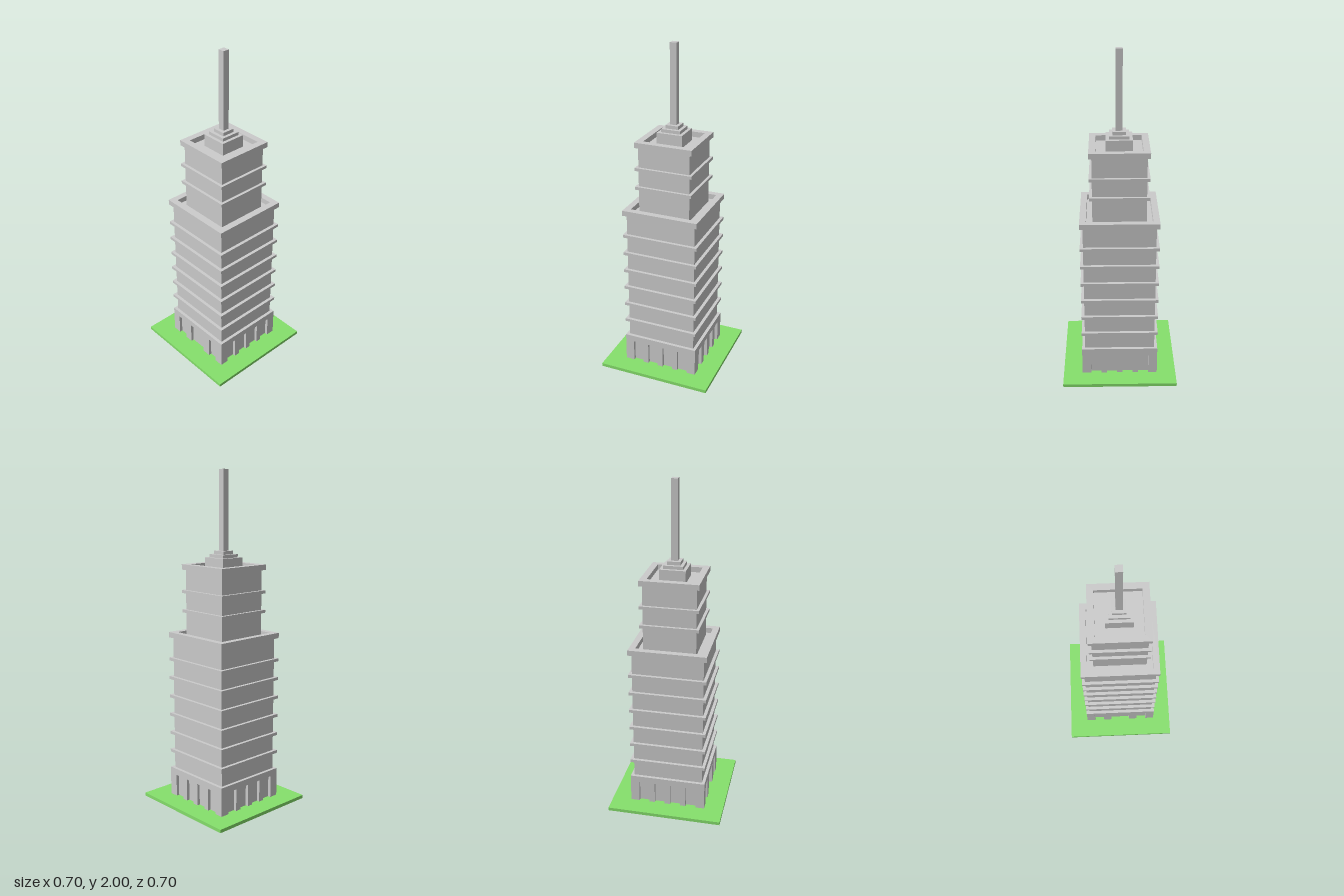
import * as THREE from 'three';

const grey = new THREE.MeshStandardMaterial({ color: 0xcccccc, flatShading: true });
const green = new THREE.MeshStandardMaterial({ color: 0x86e06c, flatShading: true });

export function createModel() {
  const tower = new THREE.Group();
  tower.name = 'tower';

  const add = (name, geometry, material = grey) => {
    const mesh = new THREE.Mesh(geometry, material);
    mesh.name = name;
    tower.add(mesh);
    return mesh;
  };

  // Square block given by half width and height range
  const block = (name, half, y0, y1, material) => {
    const mesh = add(name, new THREE.BoxGeometry(half * 2, y1 - y0, half * 2), material);
    mesh.position.y = (y0 + y1) / 2;
  };

  // Square ring around an open roof
  const parapet = (name, outer, inner, y0, y1) => {
    const square = (Type, h) => {
      const path = new Type();
      path.moveTo(-h, -h).lineTo(h, -h).lineTo(h, h).lineTo(-h, h).closePath();
      return path;
    };
    const shape = square(THREE.Shape, outer);
    shape.holes.push(square(THREE.Path, inner));
    const mesh = add(name, new THREE.ExtrudeGeometry(shape, { depth: y1 - y0, bevelEnabled: false }));
    mesh.rotation.x = -Math.PI / 2;
    mesh.position.y = y0;
  };

  // Podium facade with openings notched up from the ground
  const facade = (name, half, openings, angle) => {
    const shape = new THREE.Shape();
    shape.moveTo(-half, 0.02);
    for (const [a, b] of openings) {
      shape.lineTo(a, 0.02).lineTo(a, 0.157).lineTo(b, 0.157).lineTo(b, 0.02);
    }
    shape.lineTo(half, 0.02).lineTo(half, 0.196).lineTo(-half, 0.196).closePath();
    const mesh = add(name, new THREE.ExtrudeGeometry(shape, { depth: 0.019, bevelEnabled: false }));
    mesh.rotation.y = angle;
    mesh.position.set(Math.sin(angle) * 0.213, 0, Math.cos(angle) * 0.213);
  };

  // Lawn
  block('lawn', 0.348, 0, 0.02, green);

  // Podium: wide entrance at the front, four windows on the other sides
  const entrance = [[-0.178, -0.114], [-0.061, 0.061], [0.114, 0.178]];
  const windows = [[-0.178, -0.114], [-0.08, -0.017], [0.017, 0.08], [0.114, 0.178]];
  facade('frontFacade', 0.232, entrance, 0);
  facade('leftFacade', 0.213, windows, Math.PI / 2);
  facade('backFacade', 0.232, windows, Math.PI);
  facade('rightFacade', 0.213, windows, -Math.PI / 2);

  // Lower shaft with floor bands and parapet
  block('lowerShaft', 0.213, 0.02, 1.018, grey);
  for (let i = 0; i < 6; i++) {
    const y = 0.305 + i * 0.116;
    block('lowerBand', 0.232, y - 0.009, y + 0.009);
  }
  parapet('lowerParapet', 0.232, 0.194, 1.018, 1.05);

  // Upper shaft with floor bands and parapet
  block('upperShaft', 0.157, 1.018, 1.424);
  for (const y of [1.179, 1.295]) block('upperBand', 0.174, y - 0.009, y + 0.009);
  parapet('upperParapet', 0.174, 0.135, 1.424, 1.456);

  // Stepped cap and mast
  block('capLowerStep', 0.077, 1.424, 1.497);
  block('capMiddleStep', 0.058, 1.497, 1.516);
  block('capUpperStep', 0.039, 1.516, 1.536);
  block('mast', 0.0195, 1.536, 2);

  return tower;
}
